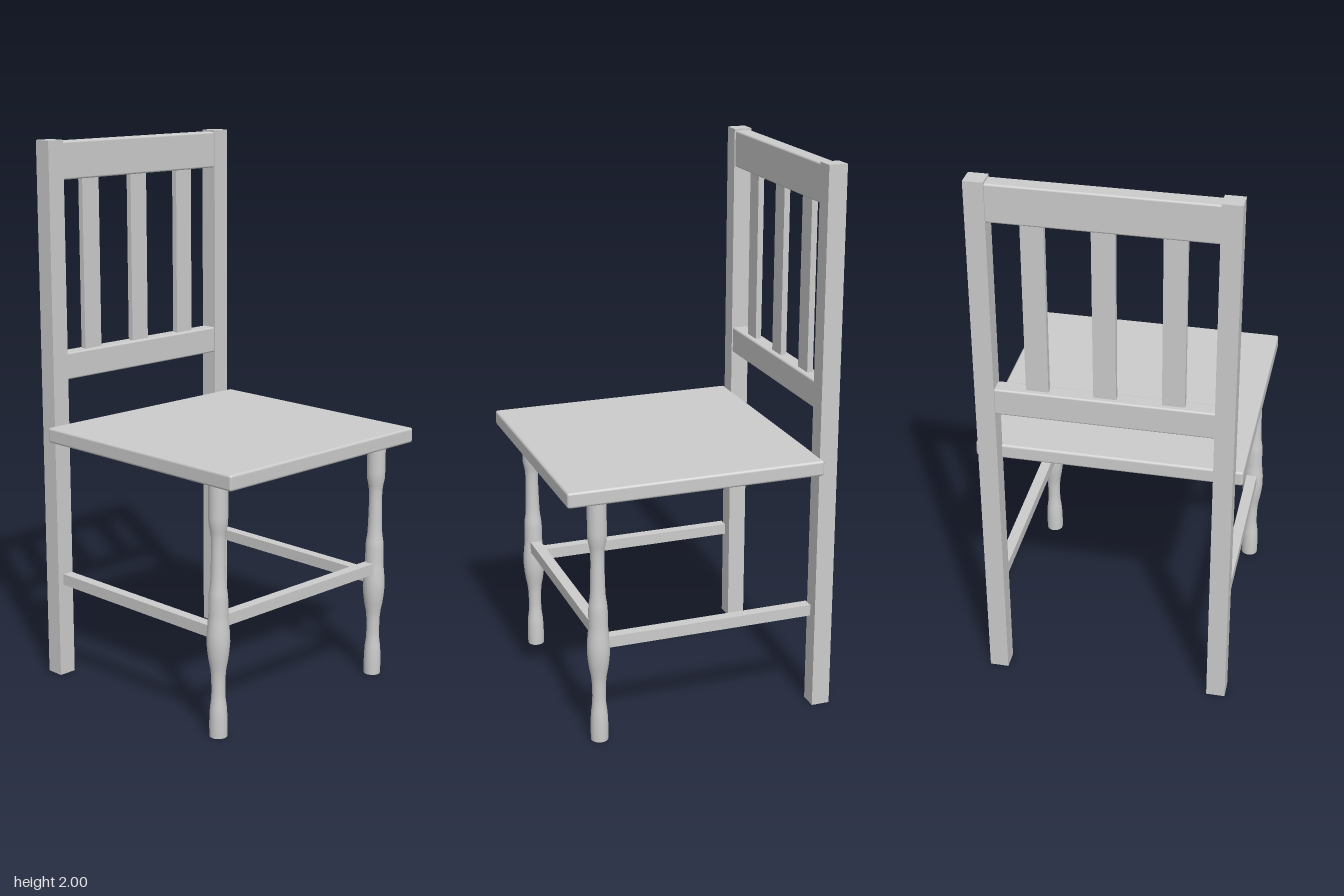
import * as THREE from 'three';
import { RoundedBoxGeometry } from 'three/addons/geometries/RoundedBoxGeometry.js';

const material = new THREE.MeshStandardMaterial({ color: 0xcccccc });

// Turned leg silhouette: [radius, height]
const LEG_PROFILE = [
  [0.031, 0], [0.032, 0.04], [0.031, 0.08], [0.029, 0.11], [0.025, 0.14], [0.024, 0.17],
  [0.025, 0.22], [0.028, 0.25], [0.034, 0.28], [0.038, 0.31], [0.041, 0.345], [0.04, 0.38],
  [0.036, 0.42], [0.034, 0.445], [0.034, 0.5], [0.032, 0.525], [0.028, 0.55], [0.026, 0.59],
  [0.024, 0.68], [0.025, 0.72], [0.028, 0.74], [0.033, 0.765], [0.034, 0.79], [0.034, 0.92],
];

export function createModel() {
  const model = new THREE.Group();
  model.name = 'chair';

  const add = (name, geometry, x, y, z) => {
    const mesh = new THREE.Mesh(geometry, material);
    mesh.name = name;
    mesh.position.set(x, y, z);
    model.add(mesh);
  };
  const box = (name, w, h, d, x, y, z) => add(name, new THREE.BoxGeometry(w, h, d), x, y, z);
  const rounded = (name, w, h, d, r, x, y, z) =>
    add(name, new RoundedBoxGeometry(w, h, d, 2, r), x, y, z);

  // Seat board with softened edges
  rounded('seat', 0.944, 0.056, 0.94, 0.009, 0, 0.939, 0.03);

  // Turned front legs, closed at both ends
  const profile = LEG_PROFILE.map(([r, y]) => new THREE.Vector2(r, y));
  const legGeometry = new THREE.LatheGeometry(profile, 32);
  const footGeometry = new THREE.CircleGeometry(LEG_PROFILE[0][0], 32).rotateX(Math.PI / 2);

  for (const side of [1, -1]) {
    const label = side > 0 ? 'left' : 'right';
    add(`${label}FrontLeg`, legGeometry, side * 0.411, 0, 0.38);
    add(`${label}FrontLegFoot`, footGeometry, side * 0.411, 0, 0.38);
    // Back post runs from the floor to the top of the backrest
    box(`${label}BackPost`, 0.068, 2, 0.068, side * 0.411, 1, -0.466);
    box(`${label}SideStretcher`, 0.04, 0.042, 0.79, side * 0.411, 0.38, -0.025);
  }

  // Stretcher between the front legs
  box('frontStretcher', 0.78, 0.042, 0.04, 0, 0.422, 0.38);

  // Backrest rails and slats
  rounded('topRail', 0.764, 0.136, 0.06, 0.007, 0, 1.926, -0.466);
  rounded('lowerRail', 0.764, 0.1, 0.06, 0.007, 0, 1.181, -0.466);
  for (const x of [-0.234, 0, 0.232]) box('backSlat', 0.078, 0.65, 0.022, x, 1.545, -0.466);

  return model;
}
